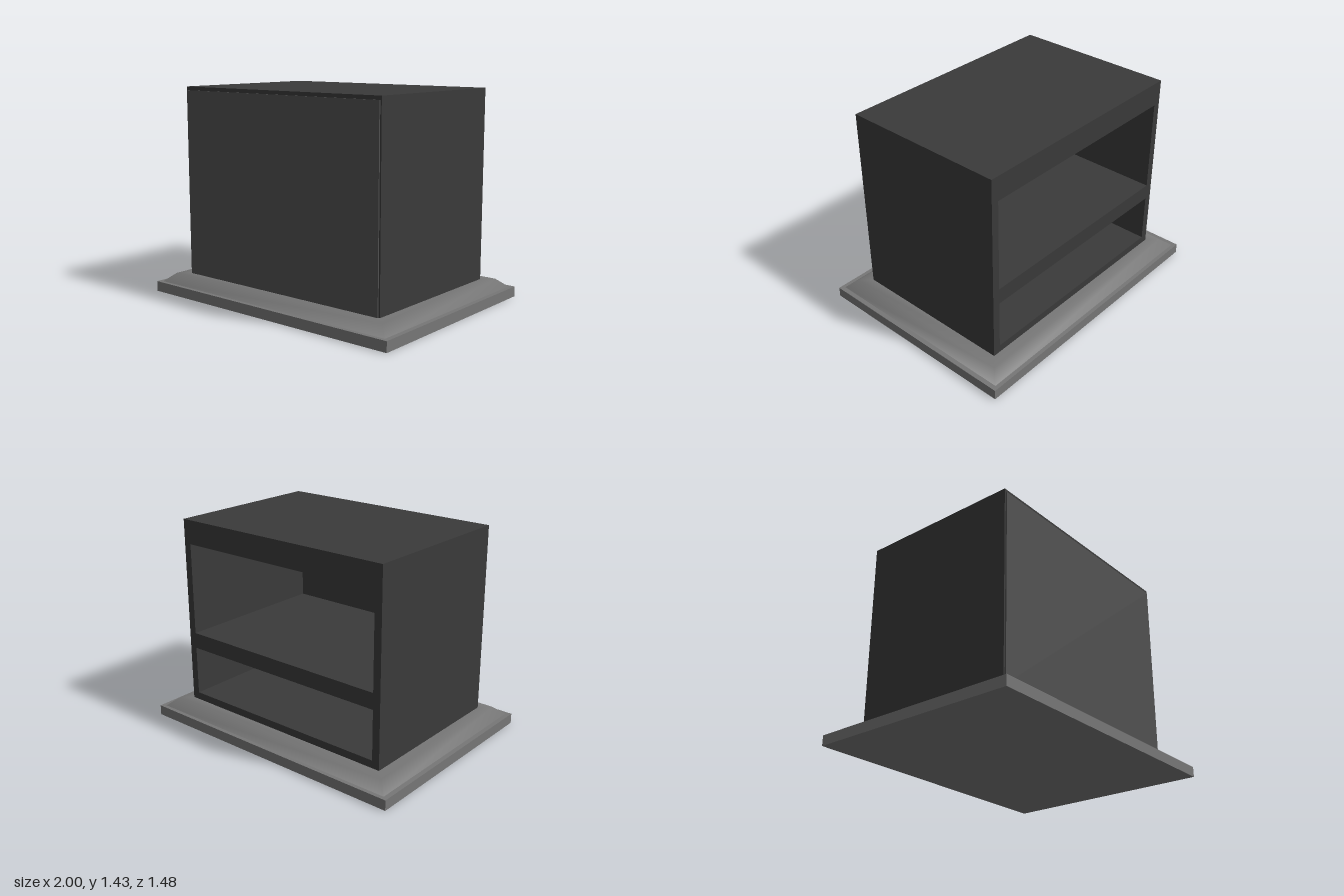
import * as THREE from 'three';

const material = (color) => new THREE.MeshStandardMaterial({ color });

function add(group, name, geometry, mat, x = 0, y = 0, z = 0) {
  const mesh = new THREE.Mesh(geometry, mat);
  mesh.name = name;
  mesh.position.set(x, y, z);
  group.add(mesh);
}

// Rectangle outline centred on x, from y0 to y1
function rectangle(PathType, halfWidth, y0, y1) {
  return new PathType([
    new THREE.Vector2(-halfWidth, y0),
    new THREE.Vector2(halfWidth, y0),
    new THREE.Vector2(halfWidth, y1),
    new THREE.Vector2(-halfWidth, y1),
  ]);
}

// Skin over stacked rectangles [half x, half z, y], with shared smooth normals
function rectangularLoft(rings) {
  const positions = [];
  const index = [];
  for (const [x, z, y] of rings) positions.push(x, y, z, x, y, -z, -x, y, -z, -x, y, z);
  for (let r = 0; r < rings.length - 1; r++) {
    for (let i = 0; i < 4; i++) {
      const a = r * 4 + i;
      const b = r * 4 + ((i + 1) % 4);
      index.push(a, b, b + 4, a, b + 4, a + 4);
    }
  }
  const geometry = new THREE.BufferGeometry();
  geometry.setAttribute('position', new THREE.Float32BufferAttribute(positions, 3));
  geometry.setIndex(index);
  geometry.computeVertexNormals();
  return geometry;
}

export function createModel() {
  const model = new THREE.Group();
  model.name = 'counter';
  const baseMat = material(0x777777);
  const cabinetMat = material(0x3a3a3a);
  const panelMat = material(0x505050);

  // Plinth with a sloped, softly shaded moulding up to the cabinet
  add(model, 'plinth', new THREE.BoxGeometry(2, 0.07, 1.48), baseMat, 0, 0.035, 0);
  add(model, 'plinthMoulding', rectangularLoft([
    [0.967, 0.713, 0.07],
    [0.9, 0.645, 0.128],
    [0.82, 0.565, 0.128],
  ]), baseMat);

  // Cabinet body with two compartments open at the back
  const body = rectangle(THREE.Shape, 0.825, 0.12, 1.43);
  body.holes.push(rectangle(THREE.Path, 0.772, 0.18, 0.52));
  body.holes.push(rectangle(THREE.Path, 0.772, 0.63, 1.265));
  const bodyGeometry = new THREE.ExtrudeGeometry(body, { depth: 1.12, bevelEnabled: false });
  add(model, 'cabinetBody', bodyGeometry, cabinetMat, 0, 0, -0.572);

  // Front wall closing the compartments
  add(model, 'cabinetFrontWall', new THREE.BoxGeometry(1.65, 1.31, 0.024), cabinetMat, 0, 0.775, 0.56);

  // Thin raised panel on the front
  add(model, 'frontPanel', new THREE.BoxGeometry(1.63, 1.285, 0.012), panelMat, 0, 0.7625, 0.575);

  return model;
}
